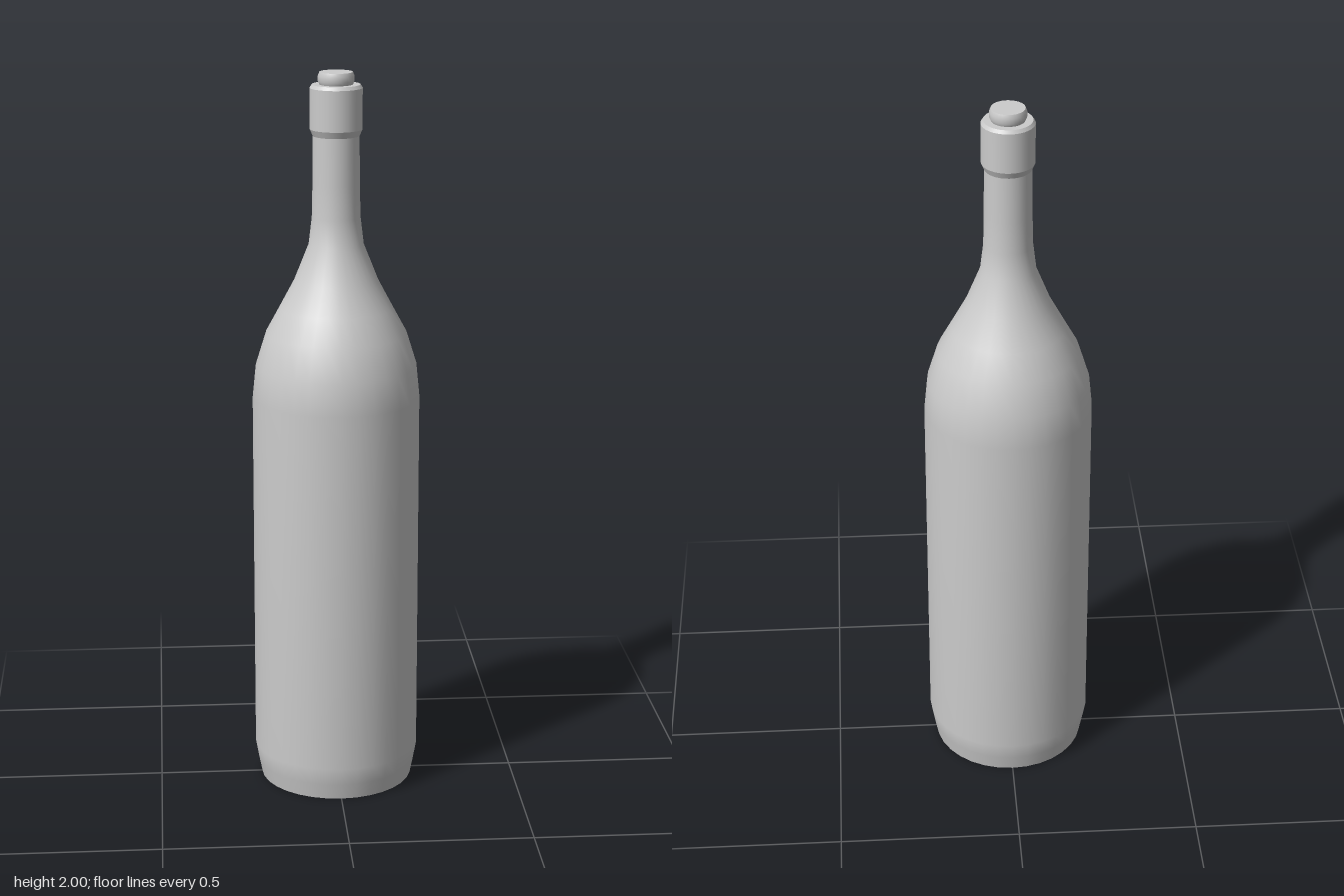
import * as THREE from 'three';

const SEGMENTS = 32;
const material = new THREE.MeshStandardMaterial({ color: 0xcccccc, side: THREE.DoubleSide });

// Smooth surface of revolution from [radius, height] pairs, bottom to top
function turned(name, profile) {
  const points = profile.map(([r, y]) => new THREE.Vector2(r, y));
  const mesh = new THREE.Mesh(new THREE.LatheGeometry(points, SEGMENTS), material);
  mesh.name = name;
  return mesh;
}

export function createModel() {
  const bottle = new THREE.Group();
  bottle.name = 'bottle';

  // Glass: flat base, tapered foot, straight body, shoulder and neck
  bottle.add(
    turned('base', [[0, 0], [0.212, 0]]),
    turned('body', [
      [0.212, 0], [0.221, 0.045], [0.23, 0.095], [0.23, 0.6], [0.23, 1.11],
      [0.221, 1.2], [0.193, 1.29], [0.155, 1.36], [0.115, 1.435],
      [0.075, 1.535], [0.066, 1.61], [0.064, 1.7], [0.063, 1.83],
    ]),
  );

  // Collar around the mouth, with bevelled edges and a flat rim
  bottle.add(
    turned('collarUnderside', [[0.063, 1.83], [0.071, 1.848]]),
    turned('collar', [[0.071, 1.848], [0.071, 1.958]]),
    turned('collarBevel', [[0.071, 1.958], [0.065, 1.967]]),
    turned('collarRim', [[0.065, 1.967], [0.045, 1.967]]),
  );

  // Stopper: slightly bulging side and flat top
  bottle.add(
    turned('stopperSide', [[0.045, 1.967], [0.049, 1.976], [0.049, 1.99], [0.045, 2]]),
    turned('stopperTop', [[0.045, 2], [0, 2]]),
  );

  return bottle;
}
